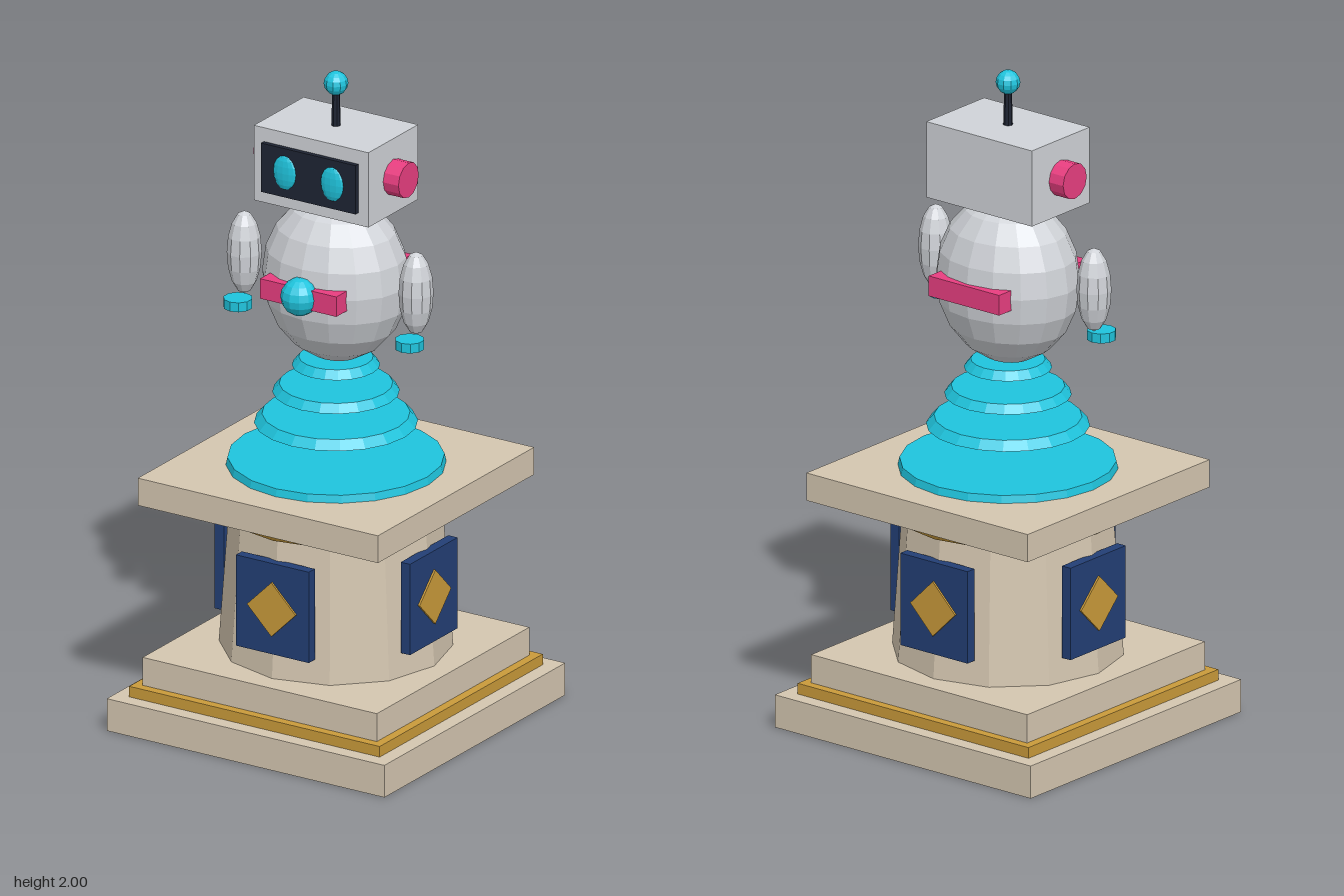
import * as THREE from 'three';

const mat = (color) => new THREE.MeshStandardMaterial({ color, flatShading: true });

export function createModel() {
  const model = new THREE.Group();
  model.name = 'robotOnPedestal';
  const stone = mat(0xd4c6b0), gold = mat(0xc99a3a), navy = mat(0x233f75), cyan = mat(0x1fc4dd);
  const pink = mat(0xe83e80), shell = mat(0xd0d3d8), dark = mat(0x1e2433);

  const add = (parent, name, geometry, material, x = 0, y = 0, z = 0) => {
    const mesh = new THREE.Mesh(geometry, material);
    mesh.name = name;
    mesh.position.set(x, y, z);
    parent.add(mesh);
    return mesh;
  };
  // box and frustum that span y0..y1
  const slab = (parent, name, w, y0, y1, d, material, z = 0) =>
    add(parent, name, new THREE.BoxGeometry(w, y1 - y0, d), material, 0, (y0 + y1) / 2, z);
  const drum = (parent, name, rTop, rBottom, y0, y1, sides, material, x = 0, z = 0) =>
    add(parent, name, new THREE.CylinderGeometry(rTop, rBottom, y1 - y0, sides), material, x, (y0 + y1) / 2, z);
  const ellipsoid = (parent, name, r, p, material, w = 12, h = 8) =>
    add(parent, name, new THREE.SphereGeometry(1, w, h).scale(...r), material, ...p);

  // Pedestal
  const pedestal = new THREE.Group();
  pedestal.name = 'pedestal';
  model.add(pedestal);
  slab(pedestal, 'plinth', 0.96, 0, 0.1, 0.96, stone);
  slab(pedestal, 'plinthTrim', 0.866, 0.1, 0.133, 0.866, gold);
  slab(pedestal, 'plinthStep', 0.81, 0.133, 0.22, 0.81, stone);
  drum(pedestal, 'column', 0.31, 0.34, 0.22, 0.65, 12, stone);
  drum(pedestal, 'columnCollar', 0.375, 0.335, 0.648, 0.695, 16, gold);
  slab(pedestal, 'capital', 0.83, 0.695, 0.78, 0.83, stone);

  // Four inlaid panels, each with a diamond
  for (let i = 0; i < 4; i++) {
    const side = new THREE.Group();
    side.name = 'sidePanel';
    side.rotation.y = (i * Math.PI) / 2;
    pedestal.add(side);
    slab(side, 'panel', 0.252, 0.295, 0.578, 0.032, navy, 0.322);
    const diamond = add(side, 'diamond', new THREE.BoxGeometry(0.119, 0.119, 0.02), gold, 0, 0.436, 0.334);
    diamond.rotation.z = Math.PI / 4;
  }

  // Hovering rings that narrow toward the body: [rTop, rBottom, y0, y1]
  const rings = [
    [0.315, 0.32, 0.78, 0.803],
    [0.215, 0.238, 0.91, 0.937],
    [0.165, 0.185, 1.005, 1.03],
    [0.108, 0.128, 1.087, 1.112],
  ];
  for (const r of rings) drum(model, 'hoverRing', ...r, 20, cyan);

  // Body, belt and buckle
  ellipsoid(model, 'body', [0.225, 0.254, 0.19], [0, 1.363, 0], shell, 16, 10);
  slab(model, 'belt', 0.264, 1.33, 1.392, 0.402, pink);
  ellipsoid(model, 'buckle', [0.057, 0.057, 0.057], [0, 1.362, 0.192], cyan);

  // Head with face plate and antenna
  slab(model, 'head', 0.396, 1.6, 1.833, 0.264, shell);
  slab(model, 'facePlate', 0.326, 1.638, 1.79, 0.03, dark, 0.132);
  drum(model, 'antenna', 0.011, 0.014, 1.83, 1.95, 8, dark);
  ellipsoid(model, 'antennaBall', [0.036, 0.036, 0.036], [0, 1.964, 0], cyan, 10, 8);

  // Mirrored parts
  for (const s of [1, -1]) {
    const tag = s > 0 ? 'left' : 'right';
    ellipsoid(model, tag + 'Eye', [0.04, 0.053, 0.012], [s * 0.082, 1.715, 0.146], cyan);
    const ear = add(model, tag + 'Ear', new THREE.CylinderGeometry(0.054, 0.054, 0.065, 12), pink, s * 0.2185, 1.715, 0);
    ear.rotation.z = Math.PI / 2;
    ellipsoid(model, tag + 'Arm', [0.051, 0.128, 0.051], [s * 0.297, 1.384, 0.031], shell, 10, 8);
    drum(model, tag + 'Hand', 0.043, 0.043, 1.223, 1.252, 10, cyan, s * 0.297, 0.065);
  }
  return model;
}
